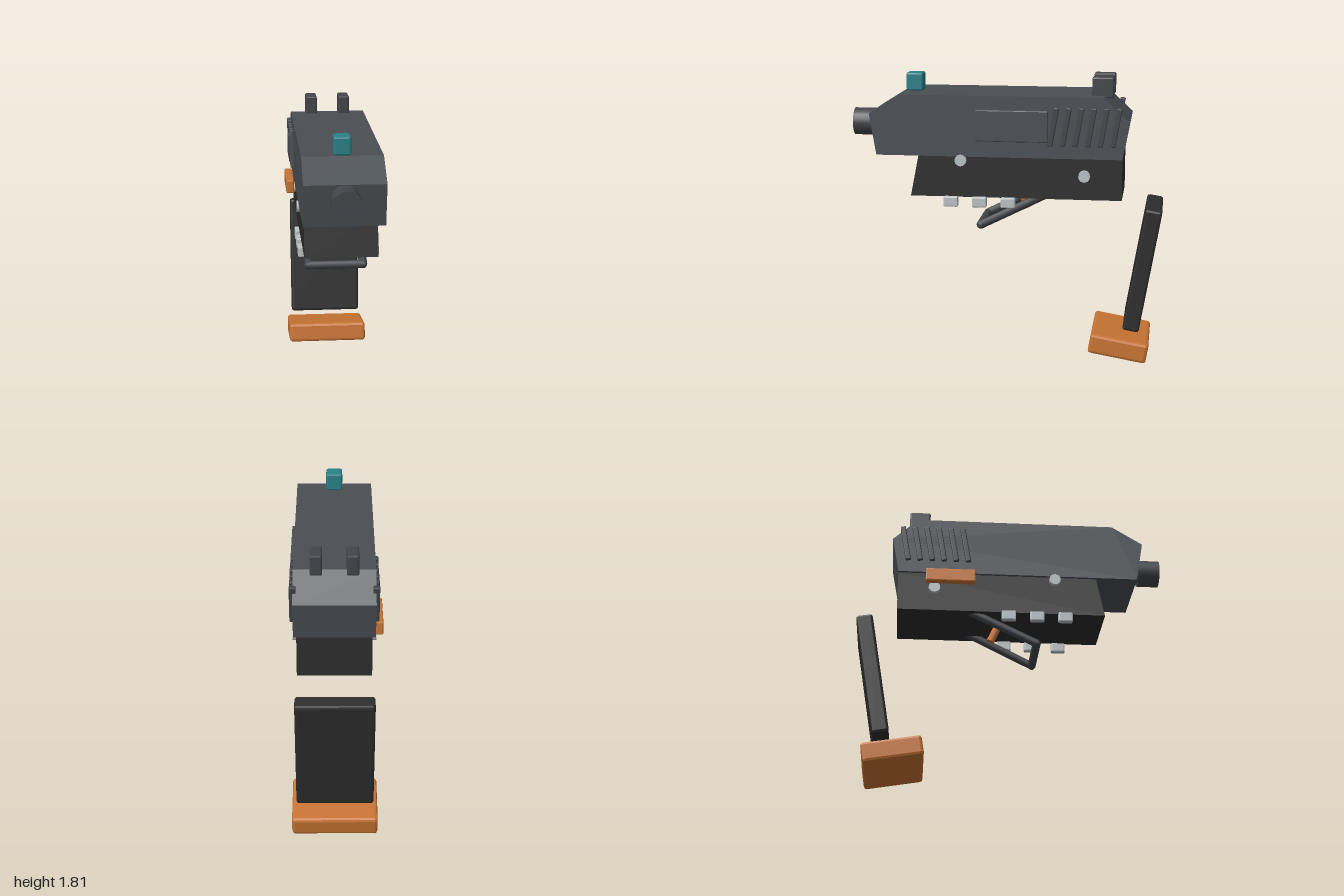
import * as THREE from 'three';
import { RoundedBoxGeometry } from 'three/addons/geometries/RoundedBoxGeometry.js';

const CX = 0.0125; // mid-plane of the body
const TILT = -0.168; // lean of the magazine and the grip grooves

const material = (name, color) => {
  const m = new THREE.MeshStandardMaterial({ color });
  m.name = name;
  return m;
};

export function createModel() {
  const model = new THREE.Group();
  model.name = 'explodedPistol';
  const slideGrey = material('slide grey', 0x4a4f54);
  const steel = material('dark steel', 0x42454a);
  const black = material('frame black', 0x2d2d2d);
  const orange = material('orange', 0xc87434);
  const teal = material('teal', 0x2a8087);
  const silver = material('silver', 0xbcc2c5);

  const add = (name, geometry, mat, x = 0, y = 0, z = 0, tilt = 0) => {
    const mesh = new THREE.Mesh(geometry, mat);
    mesh.name = name;
    mesh.position.set(x, y, z);
    mesh.rotation.x = tilt;
    model.add(mesh);
    return mesh;
  };

  // Box with chamfered edges and flat faces
  const block = (w, h, d, bevel) => {
    const g = new RoundedBoxGeometry(w, h, d, 1, bevel);
    g.computeVertexNormals();
    return g;
  };

  // Side profile of [z, y] points, extruded across the width
  const profile = (points, width) => {
    const shape = new THREE.Shape(points.map(([z, y]) => new THREE.Vector2(z, y)));
    const g = new THREE.ExtrudeGeometry(shape, { depth: width, bevelEnabled: false });
    return g.rotateY(-Math.PI / 2).translate(width / 2 + CX, 0, 0);
  };

  // Round bar between two points
  const rod = (name, a, b, radius, mat, sides) => {
    const mesh = add(name, new THREE.CylinderGeometry(radius, radius, a.distanceTo(b), sides), mat);
    mesh.position.lerpVectors(a, b, 0.5);
    mesh.quaternion.setFromUnitVectors(new THREE.Vector3(0, 1, 0), b.clone().sub(a).normalize());
    return mesh;
  };
  const v = (x, y, z) => new THREE.Vector3(x, y, z);

  // Slide and frame
  add('slide', profile([[0.815, 1.318], [0.858, 1.58], [0.66, 1.703],
    [-0.618, 1.703], [-0.78, 1.553], [-0.737, 1.318]].reverse(), 0.488), slideGrey);
  add('frame', profile([[0.548, 1.318], [0.6, 1.056], [-0.737, 1.056], [-0.737, 1.318]].reverse(), 0.45), black);

  // Barrel with a slightly thinner neck
  rod('barrelNeck', v(CX, 1.495, 0.7), v(CX, 1.495, 0.865), 0.072, steel, 20);
  rod('muzzle', v(CX, 1.492, 0.86), v(CX, 1.492, 1), 0.088, steel, 20);

  // Sights
  add('frontSight', block(0.105, 0.115, 0.108, 0.012), teal, CX, 1.759, 0.6);
  for (const side of [-1, 1]) {
    add('rearSight', block(0.072, 0.13, 0.136, 0.01), steel, CX + side * 0.108, 1.753, -0.606);
  }

  // Raised plate on the left side of the slide
  add('sidePlate', block(0.05, 0.198, 0.455, 0.006), slideGrey, 0.254, 1.519, -0.047);

  // Slanted gripping ribs, both sides
  for (const side of [-1, 1]) {
    for (let i = 0; i < 6; i++) {
      add('gripRib', block(0.04, 0.245, 0.034, 0.006), steel,
        CX + side * 0.245, 1.519, -0.306 - i * 0.078, TILT);
    }
  }

  // Cross pins
  for (const [y, z] of [[1.294, 0.277], [1.209, -0.502]]) {
    rod('crossPin', v(CX - 0.254, y, z), v(CX + 0.254, y, z), 0.037, silver, 12);
  }

  // Rail lugs under the frame
  for (const side of [-1, 1]) {
    for (let i = 0; i < 3; i++) {
      add('railLug', block(0.04, 0.066, 0.092, 0.008), silver,
        CX + side * 0.232, 1.027, 0.342 - i * 0.182);
    }
  }

  // Slide release lever
  add('releaseLever', block(0.05, 0.088, 0.32, 0.008), orange, -0.257, 1.279, -0.4);

  // Trigger guard: a tilted U of round bar
  const corners = [-1, 1].map((s) => v(CX + s * 0.176, 0.866, 0.16));
  corners.forEach((c, i) => {
    rod('guardArm', c, v(CX + (i ? 1 : -1) * 0.166, 1.09, -0.29), 0.027, steel, 8);
    add('guardCorner', new THREE.SphereGeometry(0.027, 8, 6), steel, c.x, c.y, c.z);
  });
  rod('guardBar', corners[0], corners[1], 0.027, steel, 8);

  // Trigger
  rod('trigger', v(CX, 1.1, -0.06), v(CX, 0.95, -0.127), 0.026, orange, 8);

  // Dropped magazine and its foot
  add('magazine', block(0.478, 0.805, 0.105, 0.016), black, 0.01, 0.604, -0.874, TILT);
  add('magazineFoot', block(0.532, 0.128, 0.375, 0.018), orange, 0.011, 0.095, -0.732, TILT);

  return model;
}
